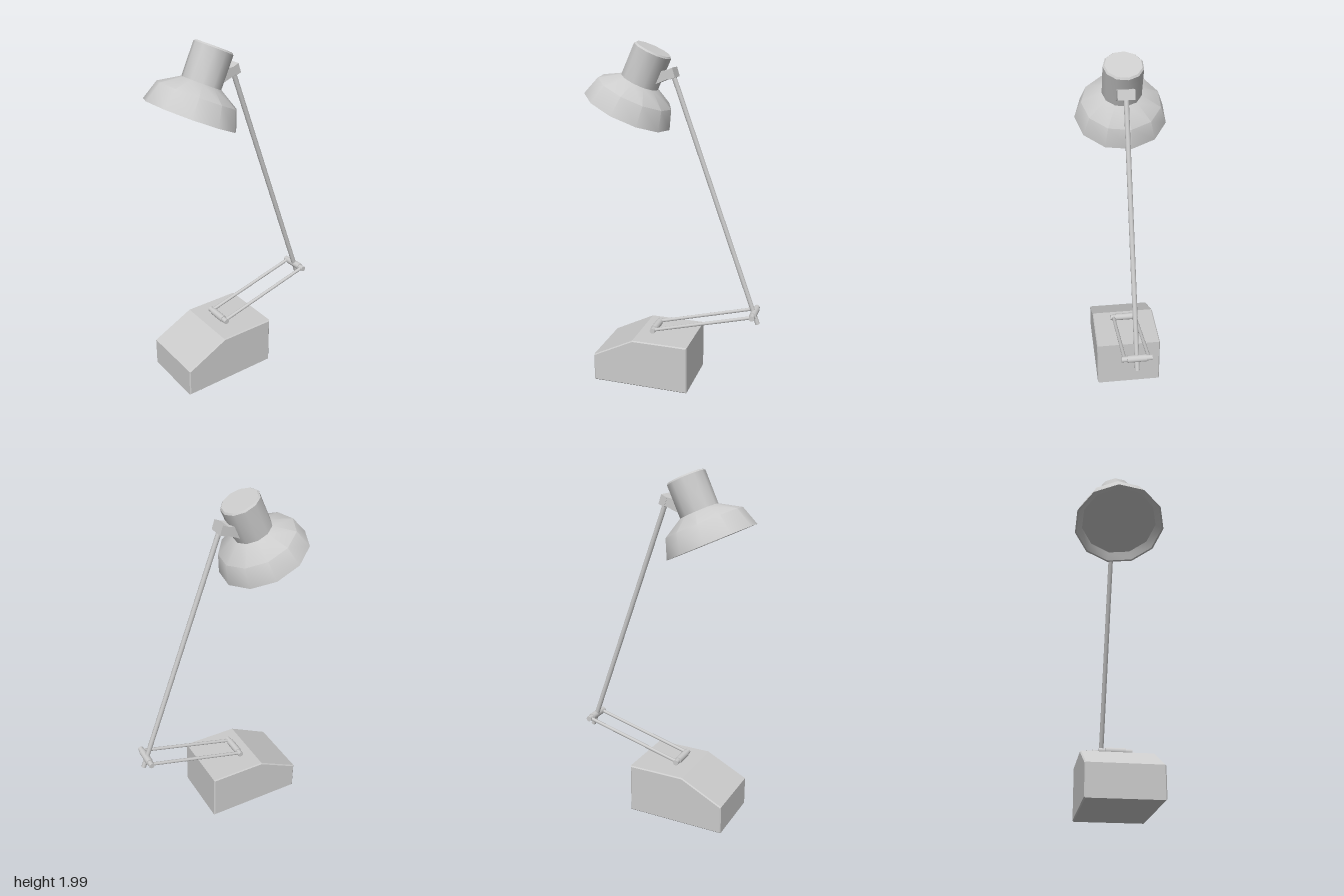
import * as THREE from 'three';
import { toCreasedNormals } from 'three/addons/utils/BufferGeometryUtils.js';

const CX = -0.004; // the lamp's middle plane

export function createModel() {
  const lamp = new THREE.Group();
  lamp.name = 'deskLamp';
  const material = new THREE.MeshStandardMaterial({ color: 0xcccccc });

  const add = (name, geometry) => {
    const mesh = new THREE.Mesh(geometry, material);
    mesh.name = name;
    lamp.add(mesh);
    return mesh;
  };

  // Round bar between two points
  const rod = (name, a, b, radius, sides = 10) => {
    const from = new THREE.Vector3(...a), to = new THREE.Vector3(...b);
    const dir = to.clone().sub(from);
    const mesh = add(name, new THREE.CylinderGeometry(radius, radius, dir.length(), sides));
    mesh.position.copy(from).add(to).multiplyScalar(0.5);
    mesh.quaternion.setFromUnitVectors(new THREE.Vector3(0, 1, 0), dir.normalize());
    return mesh;
  };

  // Side outline given as [z, y], extruded across x with a small bevel
  const slab = (name, outline, width, bevel) => {
    const shape = new THREE.Shape(outline.map(([z, y]) => new THREE.Vector2(z, y)));
    const geometry = new THREE.ExtrudeGeometry(shape, {
      depth: width - 2 * bevel, bevelEnabled: bevel > 0,
      bevelSize: bevel, bevelOffset: -bevel, bevelThickness: bevel, bevelSegments: 1,
    });
    geometry.translate(0, 0, bevel - width / 2).rotateY(-Math.PI / 2);
    const mesh = add(name, geometry);
    mesh.position.x = CX;
    return mesh;
  };

  // Weighted base with sloping front
  slab('base', [[-0.127, 0.005], [0.453, 0.005], [0.453, 0.172], [0.207, 0.296], [-0.127, 0.296]], 0.388, 0.006);

  // Two hinges: a thick barrel with a thinner pin through it
  const lower = { y: 0.323, z: 0.117 };
  const upper = { y: 0.484, z: -0.478 };
  for (const [name, p] of [['lowerHinge', lower], ['upperHinge', upper]]) {
    rod(name + 'Barrel', [CX - 0.053, p.y, p.z], [CX + 0.053, p.y, p.z], 0.021, 12);
    rod(name + 'Pin', [CX - 0.087, p.y, p.z], [CX + 0.087, p.y, p.z], 0.016, 12);
  }

  // Pair of lower arm rods
  for (const side of [-1, 1]) {
    const x = CX + side * 0.068;
    rod(side > 0 ? 'leftLowerRod' : 'rightLowerRod', [x, lower.y, lower.z], [x, upper.y, upper.z], 0.01);
  }

  // Long upper arm
  rod('upperArm', [CX, 0.417, -0.499], [CX, 1.825, 0.012], 0.014);

  // Bracket joining the arm to the shade: end block and wedge
  slab('bracketBlock', [[-0.012, 1.812], [0.022, 1.8], [0.04, 1.848], [0.004, 1.864]], 0.092, 0);
  slab('bracketWedge', [[0.012, 1.81], [0.12, 1.765], [0.1, 1.84], [0.03, 1.85]], 0.09, 0);

  // Eleven-sided shade with neck, rim and recessed underside
  const profile = [
    [0, 0.038], [0.217, 0.038], [0.25, 0], [0.26, 0],
    [0.222, 0.11], [0.11, 0.176], [0.11, 0.362], [0.101, 0.371], [0, 0.371],
  ].map(([r, h]) => new THREE.Vector2(r, h));
  const shade = add('shade', toCreasedNormals(new THREE.LatheGeometry(profile, 11, Math.PI / 2), 0.75));
  shade.position.set(CX, 1.621, 0.279);
  shade.rotation.x = -0.432;

  return lamp;
}
